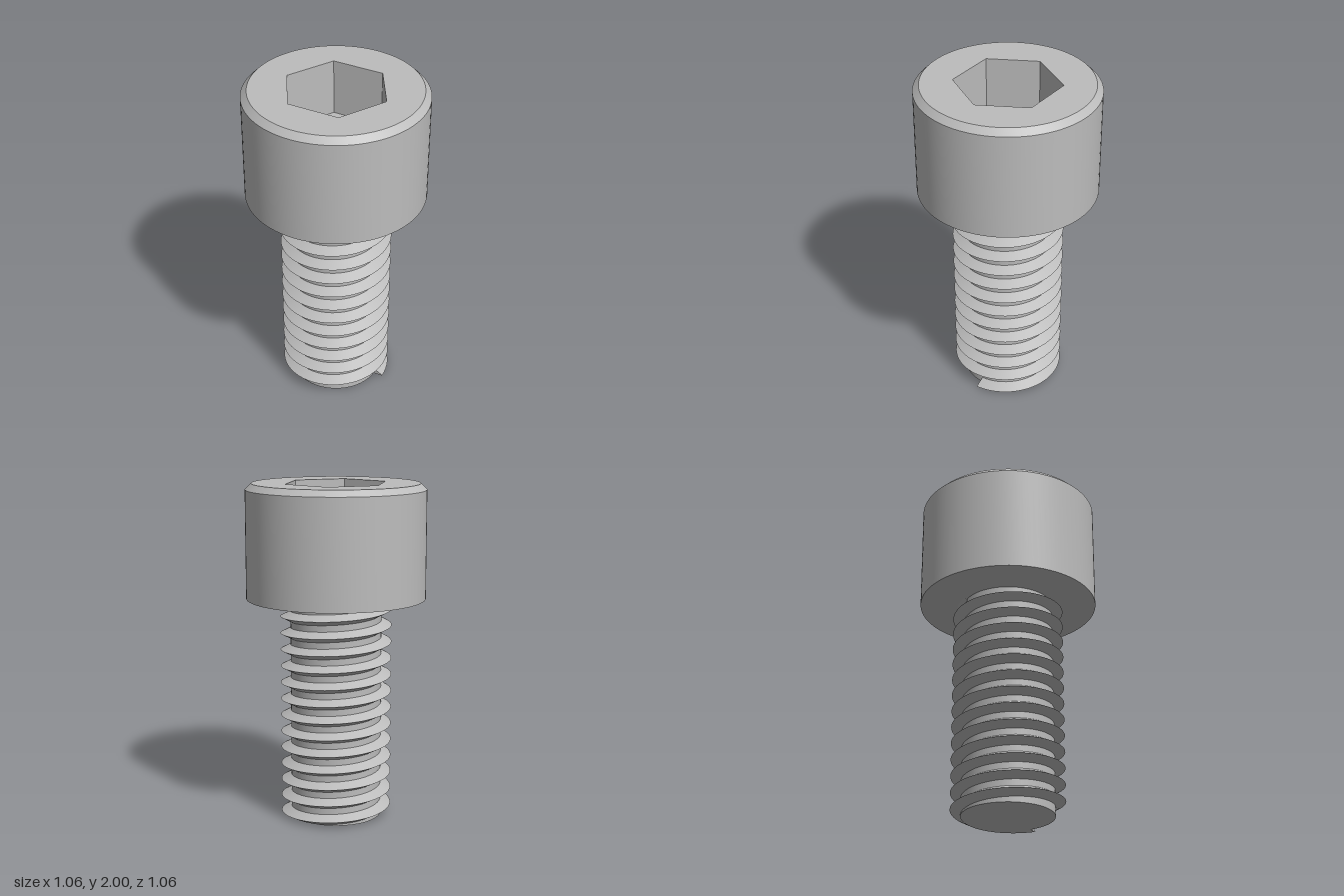
import * as THREE from 'three';
import { toCreasedNormals } from 'three/addons/utils/BufferGeometryUtils.js';

const HEAD_R = 0.53, RIM_R = 0.494, HEAD_Y = 1.325, TOP_Y = 2;
const HEX_R = 0.31, HEX_DEPTH = 0.34;
const CORE_R = 0.27, CREST_R = 0.33, PITCH = 0.1, HALF = 0.031, START_Y = 0.004;

const lathe = (points, segments, start = 0) => toCreasedNormals(
  new THREE.LatheGeometry(points.map(([r, y]) => new THREE.Vector2(r, y)), segments, start), 0.5);

// V-shaped right-hand thread swept up the shank and trimmed at the flat bottom
function threadGeometry() {
  const perTurn = 64, steps = Math.round(13.4 * perTurn);
  const positions = [], index = [];
  for (let i = 0; i <= steps; i++) {
    const t = (i / perTurn) * Math.PI * 2;
    const y = START_Y + (PITCH * i) / perTurn;
    const cut = THREE.MathUtils.clamp((HALF - y) / HALF, 0, 1);
    const section = [
      [CORE_R, y + HALF],
      [CREST_R, y],
      [CORE_R + (CREST_R - CORE_R) * cut, Math.max(0, y - HALF)],
      [CORE_R, Math.max(0, y - HALF)],
    ];
    for (const [r, h] of section) positions.push(r * Math.cos(t), h, -r * Math.sin(t));
    if (i === steps) break;
    for (let j = 0; j < 3; j++) {
      const a = i * 4 + j, b = a + 1, c = a + 4, d = a + 5;
      index.push(a, b, c, b, d, c);
    }
  }
  index.push(0, 2, 1, 0, 3, 2); // flat start of the thread
  const geometry = new THREE.BufferGeometry();
  geometry.setAttribute('position', new THREE.Float32BufferAttribute(positions, 3));
  geometry.setIndex(index);
  return toCreasedNormals(geometry, 0.5);
}

export function createModel() {
  const group = new THREE.Group();
  const steel = new THREE.MeshStandardMaterial({ color: 0xbcbcbc });
  steel.name = 'steel grey';
  const add = (name, geometry) => {
    const mesh = new THREE.Mesh(geometry, steel);
    mesh.name = name;
    group.add(mesh);
    return mesh;
  };

  // Cylindrical head with a chamfered rim
  add('head', lathe(
    [[0, HEAD_Y], [HEAD_R, HEAD_Y], [HEAD_R, TOP_Y - 0.036], [RIM_R, TOP_Y]], 96));

  // Flat top with a hexagonal opening
  const top = new THREE.Shape().absarc(0, 0, RIM_R, 0, Math.PI * 2);
  const hex = Array.from({ length: 6 }, (_, i) => new THREE.Vector2(
    HEX_R * Math.cos(i * Math.PI / 3), HEX_R * Math.sin(i * Math.PI / 3)));
  top.holes.push(new THREE.Path(hex));
  add('headTop', new THREE.ShapeGeometry(top, 96).rotateX(-Math.PI / 2).translate(0, TOP_Y, 0));

  // Socket walls and floor, facing inward
  add('hexSocket', lathe(
    [[HEX_R, TOP_Y], [HEX_R, TOP_Y - HEX_DEPTH], [0, TOP_Y - HEX_DEPTH]], 6, Math.PI / 2));

  // Threaded shank
  add('shank', new THREE.CylinderGeometry(CORE_R, CORE_R, HEAD_Y, 64).translate(0, HEAD_Y / 2, 0));
  add('thread', threadGeometry());

  return group;
}
